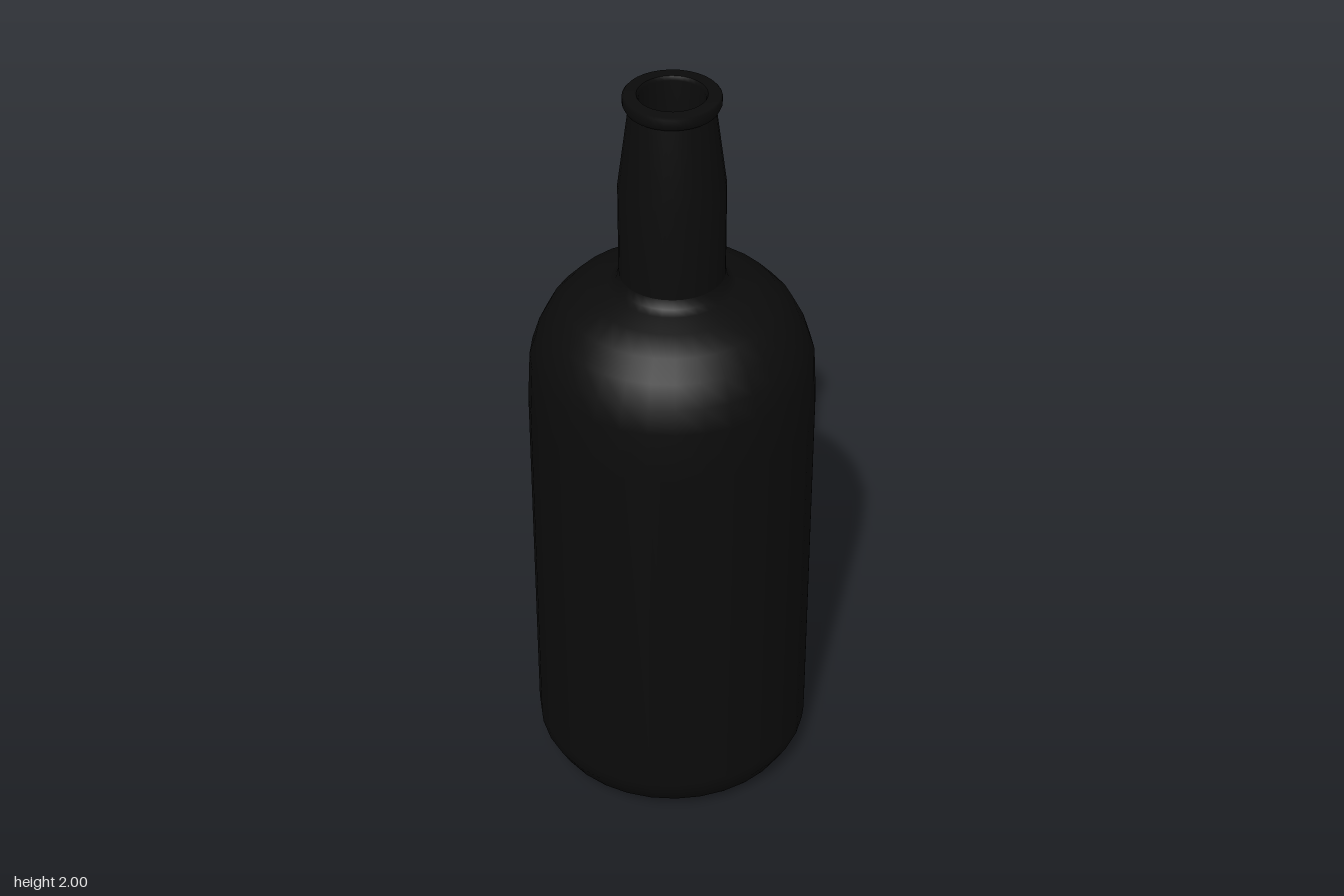
import * as THREE from 'three';

const SEGMENTS = 32;

// Revolve a list of [radius, height] pairs around the y axis
function revolve(name, profile, material) {
  const points = profile.map(([r, y]) => new THREE.Vector2(r, y));
  const mesh = new THREE.Mesh(new THREE.LatheGeometry(points, SEGMENTS), material);
  mesh.name = name;
  return mesh;
}

export function createModel() {
  const group = new THREE.Group();
  group.name = 'bottle';
  const glass = new THREE.MeshStandardMaterial({ color: 0x0b0b0b });
  glass.name = 'black glass';

  // Base, straight wall and rounded shoulder
  group.add(revolve('body', [
    [0, 0.005], [0.17, 0.003], [0.2, 0.005], [0.27, 0.014], [0.336, 0.04], [0.361, 0.085],
    [0.364, 0.12], [0.364, 1.13], [0.357, 1.265], [0.338, 1.325], [0.31, 1.38],
    [0.267, 1.427], [0.21, 1.457], [0.157, 1.471], [0.14, 1.482], [0.132, 1.505],
  ], glass));

  // Straight neck that tapers towards the mouth
  group.add(revolve('neck', [
    [0.132, 1.505], [0.132, 1.755], [0.105, 1.96],
  ], glass));

  // Lip: flared ring with a flat rim
  group.add(revolve('lip', [
    [0.105, 1.96], [0.113, 1.965], [0.119, 1.978], [0.119, 1.995], [0.115, 2], [0.085, 2],
  ], glass));

  // Inside of the mouth
  group.add(revolve('mouth', [
    [0.085, 2], [0.08, 1.99], [0.08, 1.88],
  ], glass));
  group.add(revolve('mouthFloor', [[0.08, 1.88], [0, 1.88]], glass));

  // Flat disc that the bottle stands on
  group.add(revolve('foot', [[0, 0], [0.17, 0], [0.17, 0.003]], glass));

  return group;
}
